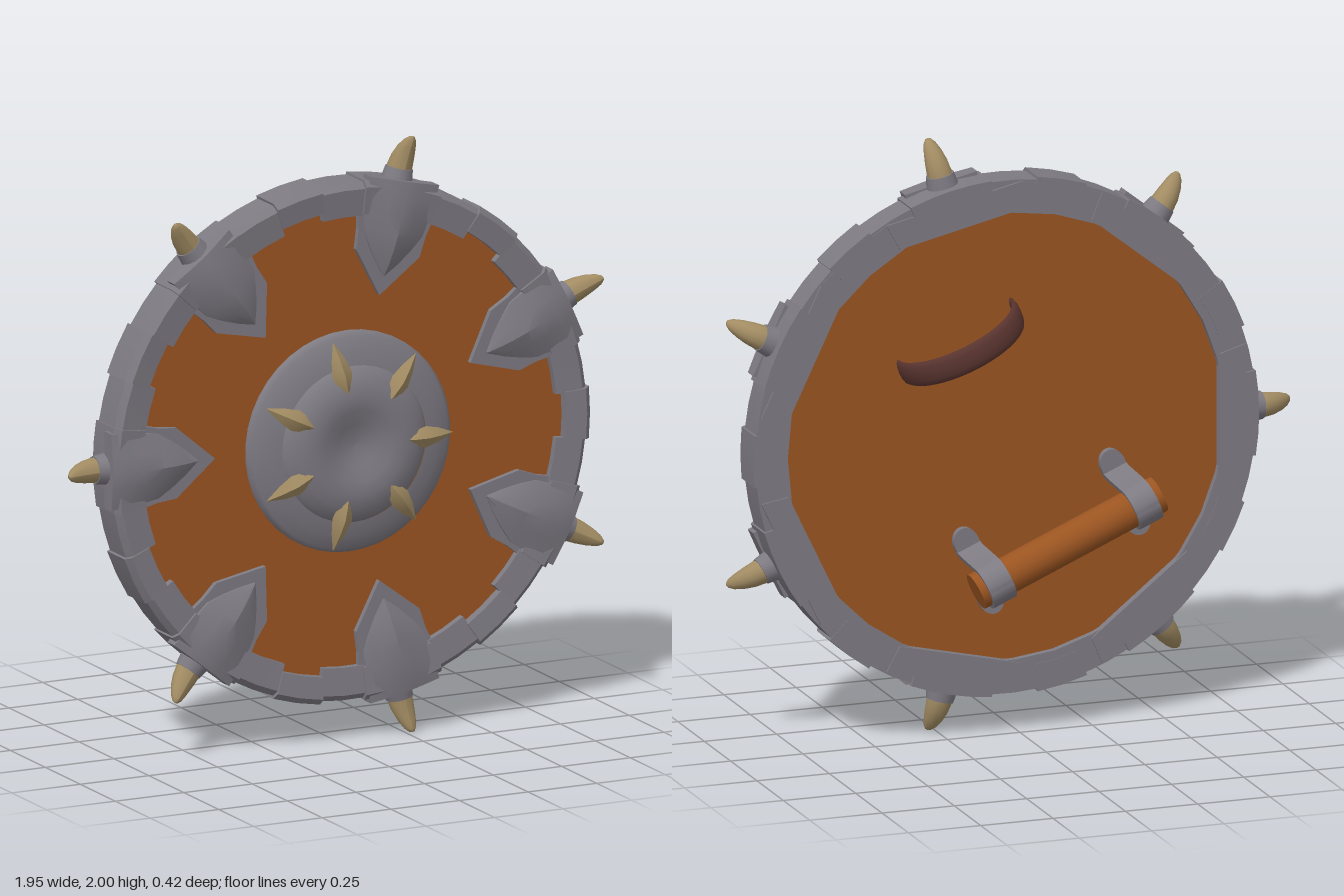
import * as THREE from 'three';
import { toCreasedNormals } from 'three/addons/utils/BufferGeometryUtils.js';

const mat = (name, color, extra = {}) => {
  const m = new THREE.MeshStandardMaterial({ color, ...extra });
  m.name = name;
  return m;
};

const RAD = Math.PI / 180;
const COUNT = 7;
const STEP = (Math.PI * 2) / COUNT;

// Joins rings of [x, y, z] points into a closed solid with flat or creased shading
function loft(rings, crease = 0.3) {
  const n = rings[0].length, idx = [];
  for (let i = 0; i < rings.length - 1; i++)
    for (let j = 0; j < n; j++) {
      const a = i * n + j, b = i * n + (j + 1) % n;
      idx.push(a, b, b + n, a, b + n, a + n);
    }
  const last = (rings.length - 1) * n;
  for (let j = 1; j < n - 1; j++) idx.push(0, j + 1, j, last, last + j, last + j + 1);
  const p = rings.flat();
  // Turn the faces outward
  let volume = 0;
  const v = p.map((q) => new THREE.Vector3(...q));
  for (let i = 0; i < idx.length; i += 3)
    volume += v[idx[i]].dot(v[idx[i + 1]].clone().cross(v[idx[i + 2]]));
  if (volume < 0) idx.reverse();
  const g = new THREE.BufferGeometry();
  g.setAttribute('position', new THREE.Float32BufferAttribute(p.flat(), 3));
  g.setIndex(idx);
  return toCreasedNormals(g, crease);
}

// Sweeps an (r, z) profile around z from angle a0 to a1 in degrees
function sector(a0, a1, steps, profile) {
  const rings = [];
  for (let i = 0; i <= steps; i++) {
    const a = (a0 + ((a1 - a0) * i) / steps) * RAD;
    rings.push(profile.map(([r, z]) => [r * Math.cos(a), r * Math.sin(a), z]));
  }
  return loft(rings);
}

const band = (ri, ro, z0, z1) => [[ri, z0], [ro, z0], [ro, z1 - 0.02], [ro - 0.02, z1], [ri, z1 - 0.01]];

export function createModel() {
  const steel = mat('grey metal', 0x7d7a82);
  const wood = mat('brown wood', 0x9a5421);
  const horn = mat('tan horn', 0xa28c63);
  const leather = mat('dark leather', 0x5c3631);

  const model = new THREE.Group();
  model.name = 'roundShield';
  const add = (parent, name, geo, material) => {
    const m = new THREE.Mesh(geo, material);
    m.name = name;
    parent.add(m);
    return m;
  };
  const lathe = (pts, n) => new THREE.LatheGeometry(pts.map((q) => new THREE.Vector2(...q)), n);

  const face = new THREE.Group();
  face.name = 'shieldFace';
  face.position.set(0.045, 1, 0);
  model.add(face);

  // Wooden disc
  add(face, 'woodDisc', new THREE.CylinderGeometry(0.82, 0.82, 0.075, 56)
    .rotateX(Math.PI / 2).translate(0, 0, 0.0675), wood);

  // Domed boss with a dent in the middle
  add(face, 'bossRing', lathe([[0.37, 0.09], [0.37, 0.118], [0.355, 0.13], [0.31, 0.15], [0.262, 0.158]], 42)
    .rotateX(Math.PI / 2), steel);
  add(face, 'bossDome', lathe([[0.265, 0.15], [0.25, 0.172], [0.21, 0.192], [0.165, 0.2],
    [0.12, 0.195], [0.07, 0.178], [0.03, 0.168], [0, 0.166]], 42).rotateX(Math.PI / 2), steel);

  // Shared geometry for the repeating rim pieces
  const spikeBand = sector(-9.5, 9.5, 4, band(0.76, 0.872, 0, 0.15));
  const sideBand = sector(9, 20.2, 2, band(0.755, 0.866, 0.008, 0.14));
  const sideBand2 = sector(-20.2, -9, 2, band(0.755, 0.866, 0.008, 0.14));
  const midBand = sector(20, 31.43, 2, band(0.783, 0.875, 0.004, 0.148));
  const backPlate = sector(-16, 16, 1, [[0.765, 0], [0.86, 0], [0.86, 0.05], [0.765, 0.05]]);
  const backLink = sector(15, 36.43, 2, [[0.755, 0.006], [0.86, 0.006], [0.86, 0.05], [0.755, 0.05]]);

  // Pointed backing of each rim plate
  const tri = new THREE.Shape([[0.49, 0], [0.63, -0.118], [0.7, -0.125], [0.8, -0.15],
    [0.8, 0.15], [0.7, 0.125], [0.63, 0.118]].map((q) => new THREE.Vector2(...q)));
  const backing = new THREE.ExtrudeGeometry(tri, { depth: 0.025, bevelEnabled: false }).translate(0, 0, 0.1);

  // Ridged plate: radius, half width, edge height, ridge height
  const plate = loft([
    [0.555, 0.003, 0.126, 0.13], [0.6, 0.042, 0.13, 0.147], [0.65, 0.078, 0.132, 0.16],
    [0.7, 0.108, 0.133, 0.167], [0.76, 0.117, 0.138, 0.168], [0.82, 0.123, 0.143, 0.165], [0.876, 0.128, 0.14, 0.155],
  ].map(([r, w, e, h]) => [
    [r, -w, 0.09], [r, -w, e], [r, -w * 0.45, e + (h - e) * 0.65], [r, 0, h],
    [r, w * 0.45, e + (h - e) * 0.65], [r, w, e], [r, w, 0.09],
  ]), 0.45);

  // Curved horn, bent toward the front
  const hornGeo = lathe([[0.042, 0], [0.042, 0.02], [0.038, 0.055], [0.03, 0.09], [0.02, 0.116], [0.009, 0.129], [0, 0.132]], 12)
    .rotateZ(-Math.PI / 2);
  const hp = hornGeo.attributes.position;
  for (let i = 0; i < hp.count; i++) hp.setZ(i, hp.getZ(i) + 2.6 * hp.getX(i) ** 2);
  hornGeo.computeVertexNormals();
  hornGeo.translate(0.893, 0, 0.083);
  const collar = new THREE.CylinderGeometry(0.046, 0.056, 0.06, 14)
    .rotateZ(-Math.PI / 2).translate(0.88, 0, 0.083);

  // Diamond claw on the boss
  const claw = loft([[0.155, 0.001, 0.186], [0.2, 0.024, 0.186], [0.25, 0.036, 0.181], [0.3, 0.024, 0.174], [0.357, 0.001, 0.163]]
    .map(([r, w, z]) => [[r, -w, z], [r, 0, z + w * 0.7], [r, w, z], [r, 0, z - w]]), 0.4);

  for (let k = 0; k < COUNT; k++) {
    const unit = new THREE.Group();
    unit.name = 'rimUnit' + (k + 1);
    unit.rotation.z = Math.PI + k * STEP;
    face.add(unit);
    add(unit, 'spikeBand', spikeBand, steel);
    add(unit, 'sideBandA', sideBand, steel);
    add(unit, 'sideBandB', sideBand2, steel);
    add(unit, 'middleBand', midBand, steel);
    add(unit, 'backPlate', backPlate, steel);
    add(unit, 'backLink', backLink, steel);
    add(unit, 'plateBacking', backing, steel);
    add(unit, 'ridgedPlate', plate, steel);
    add(unit, 'hornCollar', collar, steel);
    add(unit, 'horn', hornGeo, horn);
    add(face, 'bossClaw' + (k + 1), claw, horn).rotation.z = k * STEP;
  }

  // Wooden grip on the back, tilted, with two metal brackets
  const grip = new THREE.Group();
  grip.name = 'grip';
  grip.position.set(-0.115, 0.665, -0.135);
  grip.rotation.z = -0.405;
  model.add(grip);
  add(grip, 'gripBar', new THREE.CylinderGeometry(0.062, 0.062, 0.685, 20).rotateZ(Math.PI / 2), wood);

  const s = new THREE.Shape();
  s.moveTo(-0.1, -0.17);
  s.lineTo(-0.085, -0.12);
  s.lineTo(-0.074, 0);
  s.absarc(0, 0, 0.074, Math.PI, 0, true);
  s.lineTo(0.085, -0.12);
  s.lineTo(0.1, -0.17);
  s.lineTo(0.078, -0.17);
  s.lineTo(0.065, -0.12);
  s.lineTo(0.058, 0);
  s.absarc(0, 0, 0.058, 0, Math.PI, false);
  s.lineTo(-0.065, -0.12);
  s.lineTo(-0.078, -0.17);
  s.closePath();
  const bracket = toCreasedNormals(new THREE.ExtrudeGeometry(s, { depth: 0.085, bevelEnabled: false, curveSegments: 16 })
    .translate(0, 0, -0.0425), 0.6);
  bracket.applyMatrix4(new THREE.Matrix4().makeBasis(
    new THREE.Vector3(0, -1, 0), new THREE.Vector3(0, 0, -1), new THREE.Vector3(1, 0, 0)));
  const foot = new THREE.CylinderGeometry(1, 1, 1, 20).rotateX(Math.PI / 2).scale(0.043, 0.055, 0.025);
  for (const side of [-1, 1]) {
    add(grip, 'gripBracket', bracket, steel).position.x = side * 0.275;
    for (const up of [-1, 1])
      add(grip, 'bracketFoot', foot, steel).position.set(side * 0.275, up * 0.105, 0.155);
  }

  // Arched leather arm strap with a flattened oval section
  const strapRings = [];
  for (let i = 0; i <= 24; i++) {
    const t = (i / 24) * Math.PI, c = Math.cos(t), q = Math.sin(t);
    const ring = [];
    for (let j = 0; j < 12; j++) {
      const a = (j / 12) * Math.PI * 2, o = 0.013 * Math.cos(a);
      ring.push([c * (0.213 + o), 0.045 * Math.sin(a), 0.035 - q * (0.183 + o)]);
    }
    strapRings.push(ring);
  }
  const strap = add(model, 'armStrap', loft(strapRings, 0.9), leather);
  strap.position.set(0.2, 1.335, 0);
  strap.rotation.z = -0.42;

  return model;
}
